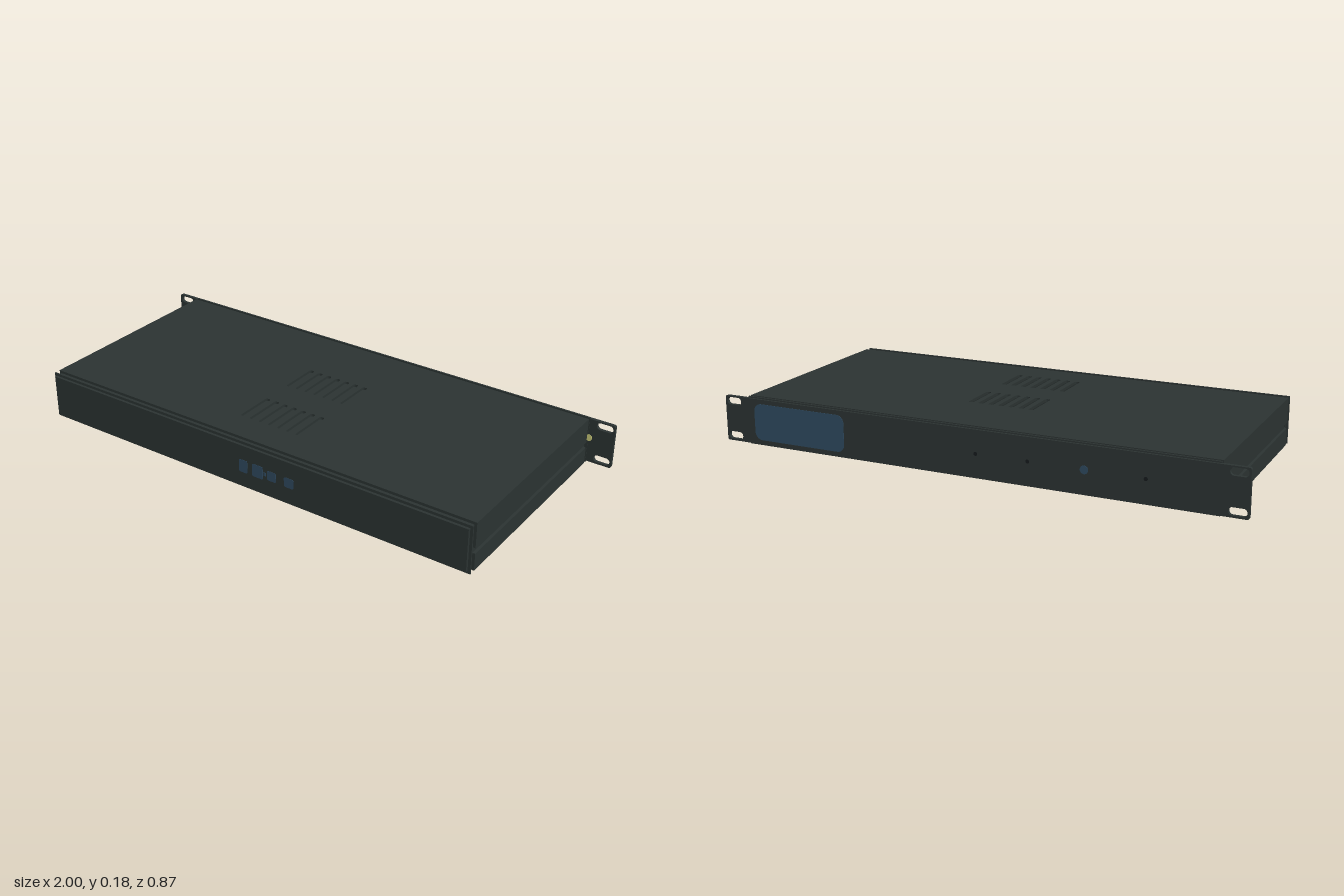
import * as THREE from 'three';

const mat = (name, hex, side = THREE.FrontSide) => {
  const m = new THREE.MeshStandardMaterial({ color: hex, side });
  m.name = name;
  return m;
};

// Rounded rectangle path centred on (x, y)
function roundRect(p, x, y, w, h, r) {
  const a = w / 2 - r, b = h / 2 - r;
  p.moveTo(x - a, y - h / 2);
  p.lineTo(x + a, y - h / 2);
  p.absarc(x + a, y - b, r, -Math.PI / 2, 0);
  p.absarc(x + a, y + b, r, 0, Math.PI / 2);
  p.absarc(x - a, y + b, r, Math.PI / 2, Math.PI);
  p.absarc(x - a, y - b, r, Math.PI, Math.PI * 1.5);
  return p;
}

export function createModel() {
  const group = new THREE.Group();
  const steel = mat('dark steel', 0x2b3332);
  const blue = mat('slate blue', 0x2f4a60);
  const black = mat('socket black', 0x151a1c);
  const yellow = mat('pale yellow', 0xc8c878);

  const add = (name, geometry, material) => {
    const mesh = new THREE.Mesh(geometry, material);
    mesh.name = name;
    group.add(mesh);
    return mesh;
  };
  // Box given by its minimum and maximum corners
  const box = (name, x0, x1, y0, y1, z0, z1, material = steel) =>
    add(name, new THREE.BoxGeometry(x1 - x0, y1 - y0, z1 - z0)
      .translate((x0 + x1) / 2, (y0 + y1) / 2, (z0 + z1) / 2), material);
  const extrude = (shape, depth) =>
    new THREE.ExtrudeGeometry(shape, { depth, bevelEnabled: false, curveSegments: 8 });

  // Top cover with two banks of ventilation slots
  const lid = new THREE.Shape();
  lid.moveTo(-0.903, -0.4);
  lid.lineTo(0.903, -0.4);
  lid.lineTo(0.903, 0.41);
  lid.lineTo(-0.903, 0.41);
  for (const z of [-0.073, 0.203]) {
    for (let i = 0; i < 7; i++) {
      lid.holes.push(roundRect(new THREE.Path(), (i - 3) * 0.04 + 0.005, -z, 0.02, 0.155, 0.008));
    }
  }
  add('topCover', extrude(lid, 0.01).rotateX(-Math.PI / 2).translate(0, 0.172, 0), steel);

  // Bottom tray and side walls with a recessed seam
  box('bottomTray', -0.903, 0.903, 0, 0.01, -0.41, 0.4);
  for (const s of [-1, 1]) {
    const wall = (name, a, b, y0, y1) =>
      box(name, Math.min(s * a, s * b), Math.max(s * a, s * b), y0, y1, -0.41, 0.4);
    wall('upperSideWall', 0.89, 0.903, 0.086, 0.172);
    wall('lowerSideWall', 0.89, 0.903, 0.01, 0.065);
    wall('sideSeam', 0.882, 0.893, 0.06, 0.09);
  }

  // Front bezel: thin flange, face plate and folded lips
  box('frontFlange', -0.903, 0.903, 0, 0.182, 0.42, 0.425);
  box('frontPanel', -0.893, 0.893, 0.011, 0.172, 0.412, 0.435);
  // Rear flange and lips
  box('rearFlange', -0.903, 0.903, 0, 0.182, -0.427, -0.42);
  for (const [z0, z1] of [[0.398, 0.414], [-0.424, -0.408]]) {
    box('upperLip', -0.893, 0.893, 0.086, 0.172, z0, z1);
    box('lowerLip', -0.893, 0.893, 0.011, 0.065, z0, z1);
  }

  // Mounting plate with four oblong slots in its ears
  const plate = roundRect(new THREE.Shape(), 0, 0.091, 2, 0.172, 0.008);
  for (const x of [-0.962, 0.962]) {
    for (const y of [0.026, 0.158]) {
      plate.holes.push(roundRect(new THREE.Path(), x, y, 0.062, 0.028, 0.013));
    }
  }
  add('mountingPlate', extrude(plate, 0.013).translate(0, 0, -0.435), steel);

  // Sockets on the front panel
  for (const [x, w, h] of [[0.006, 0.036, 0.05], [0.068, 0.046, 0.05], [0.128, 0.038, 0.038], [0.201, 0.04, 0.038]]) {
    add('frontSocket', extrude(roundRect(new THREE.Shape(), x, 0.091, w, h, 0.006), 0.002)
      .translate(0, 0, 0.434), blue);
  }
  box('socketSlot', 0.094, 0.104, 0.084, 0.098, 0.434, 0.436, blue);

  // Display label on the mounting plate
  add('displayLabel', extrude(roundRect(new THREE.Shape(), 0.68, 0.091, 0.385, 0.138, 0.03), 0.002)
    .translate(0, 0, -0.4365), blue);

  // Indicators and button
  const disc = (name, x, y, z, r, material) =>
    add(name, new THREE.CylinderGeometry(r, r, 0.003, 20).rotateX(Math.PI / 2).translate(x, y, z), material);
  for (const x of [-0.04, -0.235, -0.655]) disc('indicatorHole', x, 0.091, -0.435, 0.007, black);
  disc('blueButton', -0.44, 0.091, -0.435, 0.015, blue);
  disc('earLamp', 0.905, 0.102, -0.421, 0.013, yellow);

  return group;
}
